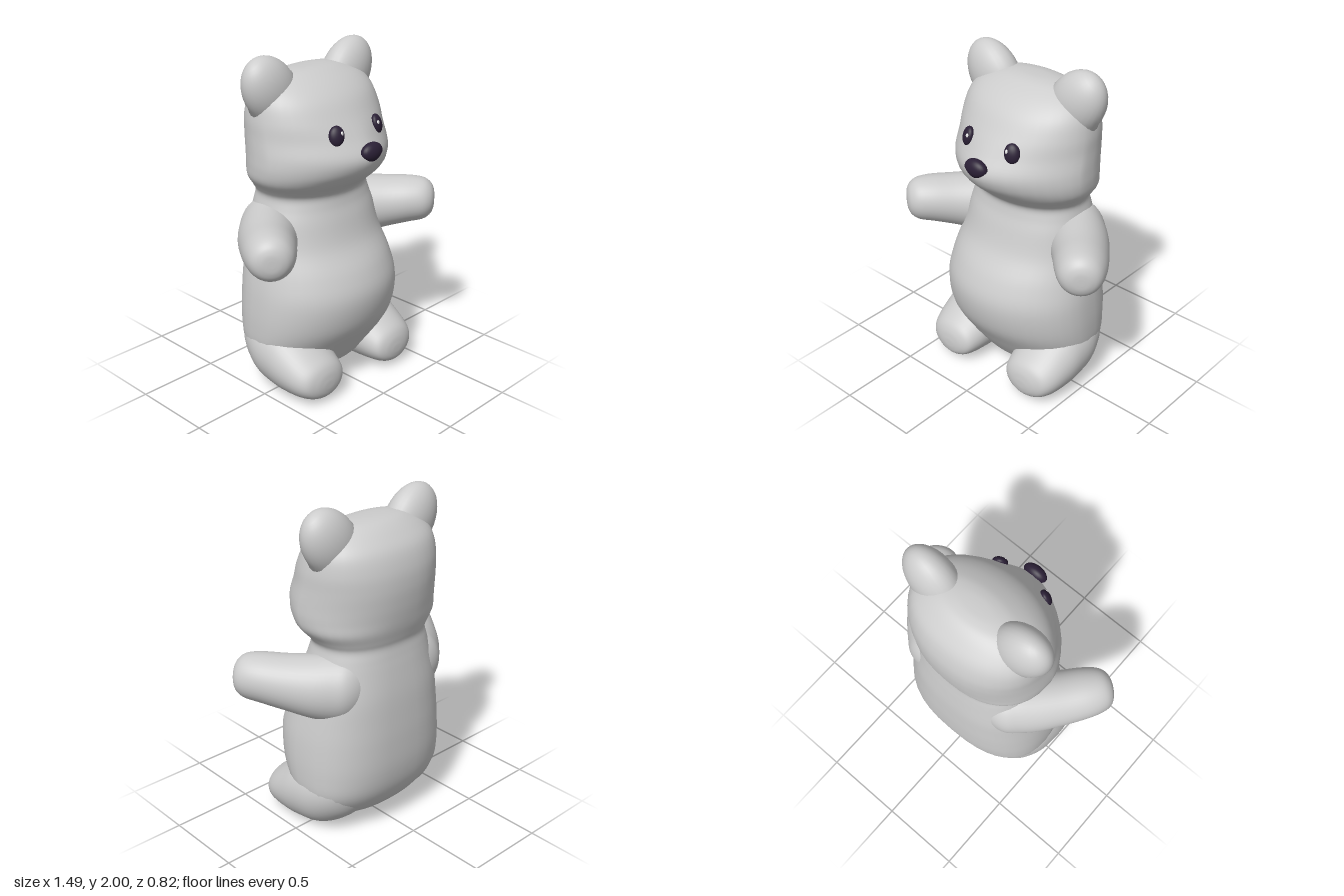
import * as THREE from 'three';

const SIDES = 40, STEPS = 5;

// Smoothly fills in a table of cross-section values (Catmull-Rom per column)
function refine(rows) {
  const out = [], at = i => rows[Math.max(0, Math.min(rows.length - 1, i))];
  for (let i = 0; i < rows.length - 1; i++) {
    for (let k = 0; k < STEPS; k++) {
      const t = k / STEPS;
      out.push(rows[i].map((b, c) => {
        const a = at(i - 1)[c], d = at(i + 1)[c], e = at(i + 2)[c];
        return b + 0.5 * t * (d - a + t * (2 * a - 5 * b + 4 * d - e + t * (3 * (b - d) + e - a)));
      }));
    }
  }
  out.push(rows[rows.length - 1]);
  return out;
}

// Skins closed rings of points and caps both ends; mirror = -1 builds the other side
function loft(rings, mirror = 1) {
  const pos = [], idx = [], n = SIDES, last = rings.length - 1;
  const tri = (a, b, c) => (mirror > 0 ? idx.push(a, b, c) : idx.push(a, c, b));
  const put = p => pos.push(p.x * mirror, p.y, p.z);
  rings.forEach(r => r.forEach(put));
  for (const r of [rings[0], rings[last]]) {
    put(r.reduce((s, p) => s.add(p), new THREE.Vector3()).divideScalar(n));
  }
  const start = rings.length * n, end = start + 1;
  for (let j = 0; j < n; j++) {
    const k = (j + 1) % n;
    for (let i = 0; i < last; i++) {
      const a = i * n + j, b = i * n + k;
      tri(a, a + n, b);
      tri(b, a + n, b + n);
    }
    tri(start, j, k);
    tri(end, last * n + k, last * n + j);
  }
  const g = new THREE.BufferGeometry();
  g.setAttribute('position', new THREE.Float32BufferAttribute(pos, 3));
  g.setIndex(idx);
  g.computeVertexNormals();
  return g;
}

const ring = fn => Array.from({ length: SIDES }, (_, j) => {
  const a = (j / SIDES) * Math.PI * 2;
  return fn(Math.cos(a), Math.sin(a));
});
const pow = (v, e) => Math.sign(v) * Math.pow(Math.abs(v), e);

// Upright loft: rows are [y, half width, front z, back z, front roundness, back roundness]
function trunk(rows) {
  return loft(refine(rows).map(([y, w, f, b, nf, nb]) => ring((c, s) => {
    const e = 2 / (s > 0 ? nf : nb);
    return new THREE.Vector3(w * pow(c, e), y, (f + b) / 2 + (f - b) / 2 * pow(s, e));
  })));
}

// Limb loft along a level direction: rows are [x, y, z, half width, half height]
function limb(rows, dx, dz, mirror) {
  return loft(refine(rows).map(([x, y, z, w, h]) => ring((c, s) =>
    new THREE.Vector3(x + w * dz * c, y - h * s, z - w * dx * c))), mirror);
}

// Unit sphere whose lower half is widened (positive) or narrowed (negative) in x and z
function pear(widenX, widenZ) {
  const g = new THREE.SphereGeometry(1, 28, 20), p = g.attributes.position;
  for (let i = 0; i < p.count; i++) {
    const low = Math.max(0, -p.getY(i));
    p.setX(i, p.getX(i) * (1 + widenX * low));
    p.setZ(i, p.getZ(i) * (1 + widenZ * low));
  }
  return g;
}

export function createModel() {
  const bear = new THREE.Group();
  bear.name = 'bear';
  const fur = new THREE.MeshStandardMaterial({ color: 0xcccccc });
  fur.name = 'grey fur';
  const dark = new THREE.MeshStandardMaterial({ color: 0x2b2036 });
  dark.name = 'dark purple';
  const white = new THREE.MeshStandardMaterial({ color: 0xf2f2f2 });
  white.name = 'white glint';

  const add = (name, geo, mat) => {
    const m = new THREE.Mesh(geo, mat);
    m.name = name;
    bear.add(m);
    return m;
  };
  const ball = (name, mat, p, r, geo = pear(0, 0)) => {
    const m = add(name, geo, mat);
    m.position.set(...p);
    m.scale.set(...r);
    return m;
  };

  // Round belly, neck and head with pointed snout in one smooth skin
  add('bodyAndHead', trunk([
    [0.065, 0.14, 0.06, -0.16, 2, 2],
    [0.09, 0.3, 0.14, -0.24, 2, 2.2],
    [0.15, 0.41, 0.19, -0.31, 2, 2.3],
    [0.27, 0.485, 0.27, -0.375, 2, 2.5],
    [0.42, 0.5, 0.355, -0.405, 2, 2.5],
    [0.6, 0.49, 0.385, -0.41, 2, 2.5],
    [0.75, 0.465, 0.34, -0.405, 2, 2.5],
    [0.9, 0.43, 0.25, -0.395, 2.1, 2.5],
    [1.05, 0.395, 0.2, -0.375, 2.2, 2.4],
    [1.13, 0.37, 0.175, -0.362, 2.2, 2.4],
    [1.19, 0.36, 0.17, -0.355, 2.1, 2.3],
    [1.235, 0.385, 0.205, -0.365, 2, 2.3],
    [1.3, 0.435, 0.285, -0.382, 1.8, 2.3],
    [1.37, 0.45, 0.35, -0.395, 1.65, 2.2],
    [1.45, 0.448, 0.37, -0.405, 1.6, 2.2],
    [1.55, 0.438, 0.315, -0.41, 1.7, 2.2],
    [1.65, 0.43, 0.25, -0.4, 1.9, 2.2],
    [1.75, 0.405, 0.18, -0.365, 2, 2.2],
    [1.82, 0.35, 0.1, -0.305, 2, 2.1],
    [1.87, 0.25, 0.01, -0.24, 2, 2],
    [1.888, 0.14, -0.05, -0.18, 2, 2],
    [1.892, 0.04, -0.1, -0.13, 2, 2],
  ]), fur);

  for (const side of [1, -1]) {
    const label = side > 0 ? 'left' : 'right';

    // Arms reach forward and outward from shoulders that flow out of the back
    add(label + 'Arm', limb([
      [0.13, 0.96, -0.28, 0.06, 0.08],
      [0.18, 0.955, -0.25, 0.13, 0.15],
      [0.24, 0.95, -0.21, 0.165, 0.19],
      [0.3, 0.945, -0.15, 0.175, 0.2],
      [0.385, 0.95, -0.065, 0.175, 0.188],
      [0.49, 0.97, 0.05, 0.162, 0.163],
      [0.58, 0.99, 0.16, 0.15, 0.145],
      [0.635, 0.995, 0.23, 0.13, 0.13],
      [0.665, 0.995, 0.265, 0.1, 0.1],
      [0.678, 0.995, 0.281, 0.06, 0.06],
      [0.681, 0.995, 0.285, 0.02, 0.02],
    ], 0.62, 0.78, side), fur);

    // Legs run from the haunches to low feet
    add(label + 'Leg', limb([
      [0.23, 0.335, -0.32, 0.07, 0.09],
      [0.26, 0.305, -0.25, 0.17, 0.18],
      [0.287, 0.255, -0.11, 0.215, 0.23],
      [0.305, 0.22, 0.04, 0.212, 0.22],
      [0.31, 0.185, 0.15, 0.2, 0.183],
      [0.31, 0.155, 0.25, 0.18, 0.142],
      [0.305, 0.14, 0.31, 0.15, 0.11],
      [0.3, 0.13, 0.337, 0.1, 0.075],
      [0.3, 0.125, 0.347, 0.05, 0.035],
      [0.3, 0.125, 0.349, 0.015, 0.01],
    ], 0, 1, side), fur);

    // Ears lean outward and spread where they meet the head
    const ear = ball(label + 'Ear', fur, [side * 0.302, 1.795, -0.115], [0.165, 0.22, 0.12], pear(0.5, 0.35));
    ear.rotation.z = -side * 0.64;

    // Eyes with a small glint
    const eye = ball(label + 'Eye', dark, [side * 0.163, 1.585, 0.258], [0.045, 0.057, 0.028]);
    eye.rotation.set(-0.3, side * 0.45, side * 0.2);
    ball(label + 'EyeGlint', white, [side * 0.146, 1.598, 0.283], [0.01, 0.015, 0.007]);
  }

  // Nose, narrowing toward the bottom
  ball('nose', dark, [0, 1.483, 0.37], [0.076, 0.055, 0.043], pear(-0.4, 0));

  return bear;
}
